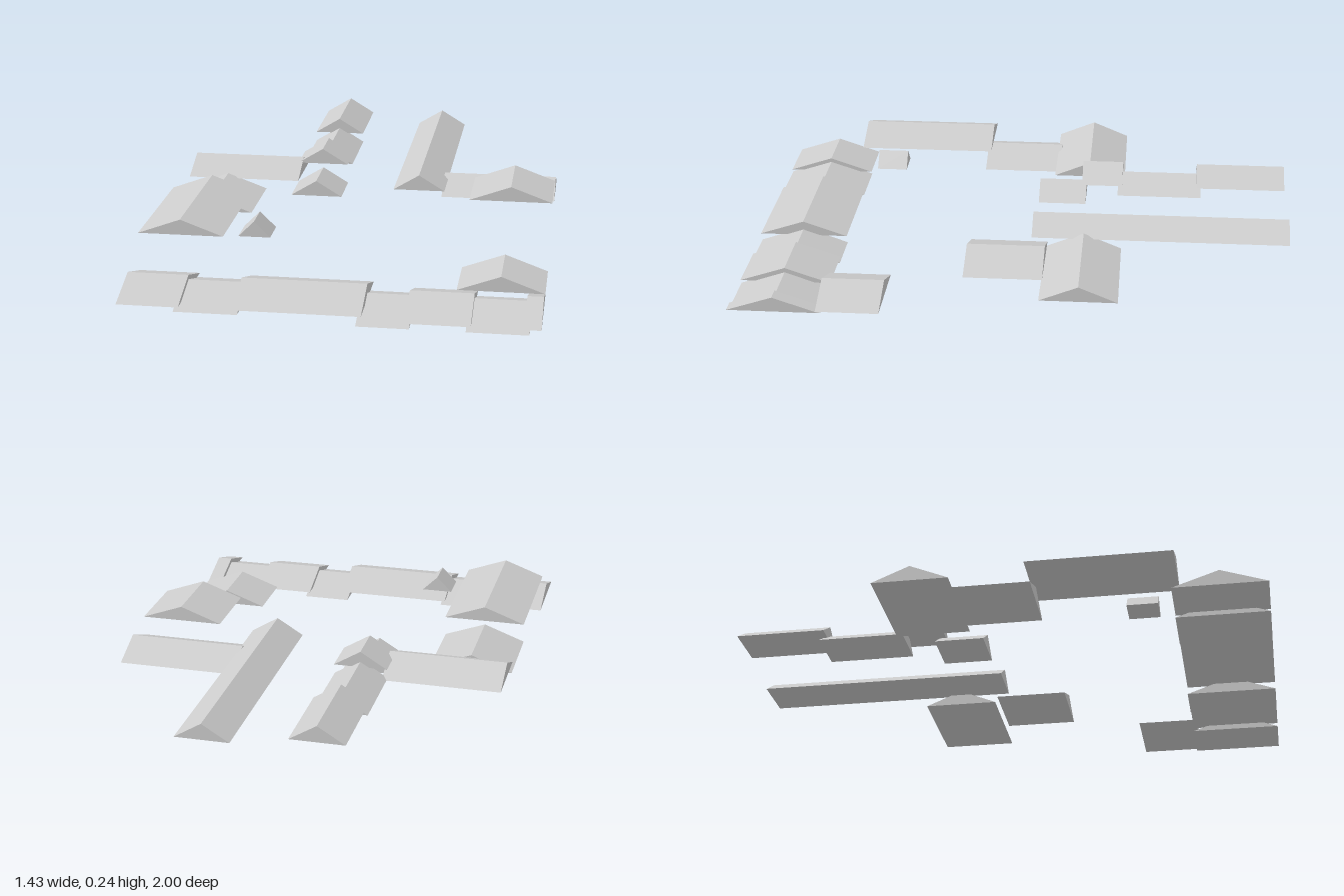
import * as THREE from 'three';

const roofGrey = new THREE.MeshStandardMaterial({ color: 0xcccccc });
roofGrey.name = 'roofGrey';

// Closed gable prism with its ridge along z, centred in x and z, standing on y = 0
function gable(width, height, length) {
  const shape = new THREE.Shape();
  shape.moveTo(-width / 2, 0);
  shape.lineTo(width / 2, 0);
  shape.lineTo(0, height);
  shape.closePath();
  const geo = new THREE.ExtrudeGeometry(shape, { depth: length, bevelEnabled: false });
  geo.translate(0, 0, -length / 2);
  return geo;
}

export function createModel() {
  const model = new THREE.Group();
  model.name = 'courtyardRoofs';

  // Roof filling x0..x1, y0..y1, z0..z1 with the ridge along the given axis
  function roof(name, ridge, [x0, x1], [y0, y1], [z0, z1]) {
    const w = x1 - x0, d = z1 - z0;
    const geo = ridge === 'z' ? gable(w, y1 - y0, d) : gable(d, y1 - y0, w).rotateY(Math.PI / 2);
    const mesh = new THREE.Mesh(geo, roofGrey);
    mesh.name = name;
    mesh.position.set((x0 + x1) / 2, y0, (z0 + z1) / 2);
    model.add(mesh);
  }

  // Stepped front row: x start, x end, eave height
  const frontRow = [
    [-0.717, -0.502, 0.035], [-0.52, -0.3, 0.019], [-0.316, 0.119, 0.035], [0.1, 0.28, 0.002],
    [0.264, 0.484, 0.019], [0.468, 0.678, 0.002], [0.661, 0.717, 0.019],
  ];
  frontRow.forEach(([a, b, y], i) =>
    roof('frontRoof' + (i + 1), 'x', [a, b], [i === 3 || i === 5 ? 0 : y, y + 0.055], [0.668, 1]));

  // Side wings
  const leftWing = [-0.717, -0.412], rightWing = [0.41, 0.717];
  roof('leftWingFrontRoof', 'z', leftWing, [0.18, 0.236], [0.16, 0.682]);
  roof('leftWingBackRoof', 'z', leftWing, [0.1, 0.156], [-0.12, 0.182]);
  roof('rightWingFrontRoof', 'z', rightWing, [0.024, 0.08], [0.456, 0.682]);
  roof('rightWingBackRoof', 'z', rightWing, [0.18, 0.236], [-0.12, 0.156]);

  // Cross wings at the back of the courtyard
  roof('leftCrossRoof', 'x', [-0.717, -0.283], [0.14, 0.197], [-0.384, -0.107]);
  roof('rightCrossRoof', 'x', [0.281, 0.717], [0.1, 0.156], [-0.384, -0.107]);

  // Long rear wings: the left one is stepped, the right one is a single roof
  const leftRear = [[-1, -0.665, 0.18], [-0.68, -0.36, 0.14], [-0.377, -0.222, 0.18], [-0.236, -0.054, 0.1]];
  leftRear.forEach(([a, b, y], i) =>
    roof('leftRearRoof' + (i + 1), 'z', [-0.301, -0.104], [y, y + 0.06], [a, b]));
  roof('rightRearRoof', 'z', [0.1, 0.297], [0.14, 0.2], [-1, -0.054]);

  // Small roof inside the courtyard
  roof('courtyardRoof', 'z', [-0.375, -0.26], [0.155, 0.212], [0.485, 0.6]);

  return model;
}
